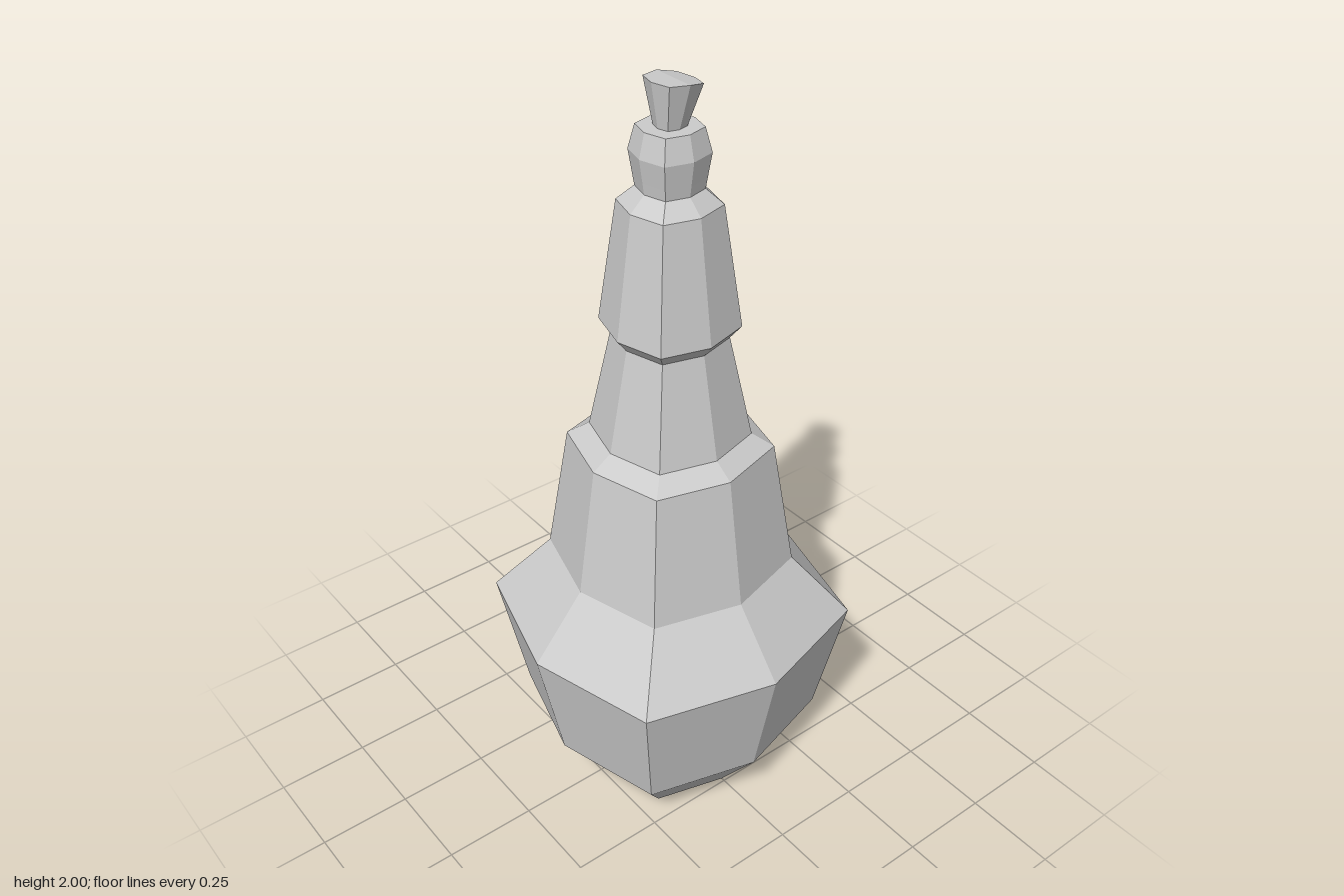
import * as THREE from 'three';

const DIAGONAL = 1.11; // diagonal corners sit slightly further out than the axis corners

// Eight-sided turned solid from [radius, height] pairs, listed bottom to top
function turned(name, profile, material) {
  const points = profile.map(([r, y]) => new THREE.Vector2(r, y));
  const geometry = new THREE.LatheGeometry(points, 8);
  const pos = geometry.attributes.position;
  for (let i = 0; i < pos.count; i++) {
    const x = pos.getX(i), z = pos.getZ(i);
    if (Math.min(Math.abs(x), Math.abs(z)) > 0.001) {
      pos.setX(i, x * DIAGONAL);
      pos.setZ(i, z * DIAGONAL);
    }
  }
  const mesh = new THREE.Mesh(geometry, material);
  mesh.name = name;
  return mesh;
}

export function createModel() {
  const group = new THREE.Group();
  group.name = 'steppedBottle';
  const grey = new THREE.MeshStandardMaterial({ color: 0xcccccc, flatShading: true });

  // Bulbous base, shoulder, neck and collar
  group.add(turned('body', [
    [0, 0], [0.24, 0], [0.37, 0.175], [0.44, 0.52], [0.295, 0.69],
    [0.24, 1.045], [0.187, 1.08], [0.132, 1.355], [0.158, 1.388],
    [0.114, 1.705], [0.074, 1.742], [0, 1.742],
  ], grey));

  // Rounded lip at the top of the neck
  group.add(turned('lip', [
    [0, 1.742], [0.074, 1.742], [0.078, 1.77], [0.087, 1.83], [0.072, 1.89], [0, 1.89],
  ], grey));

  // Flared stopper, leaning a little with a sloping top
  const stopper = turned('stopper', [[0, 1.885], [0.034, 1.885], [0.061, 2], [0, 2]], grey);
  const pos = stopper.geometry.attributes.position;
  for (let i = 0; i < pos.count; i++) {
    if (pos.getY(i) < 1.99) continue;
    const x = pos.getX(i);
    pos.setX(i, x + 0.009);
    pos.setY(i, x > 0 ? 1.997 - 0.22 * x : 1.997 - 0.05 * x);
  }
  group.add(stopper);

  return group;
}
